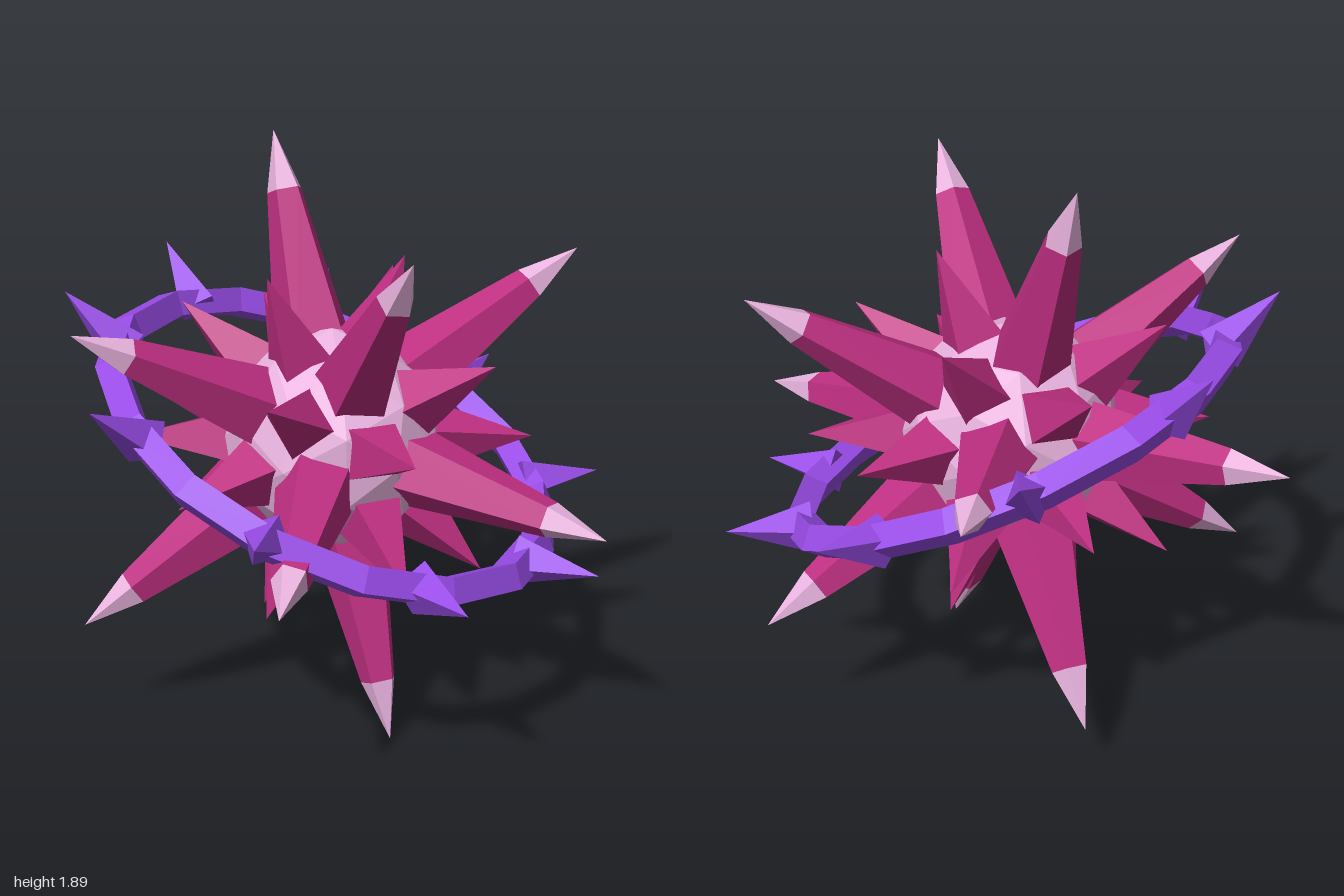
import * as THREE from 'three';

const flat = (color) => new THREE.MeshStandardMaterial({ color, flatShading: true });
const UP = new THREE.Vector3(0, 1, 0);

// Tapered, open-ended segment along +y from distance a to distance b
function taper(name, r0, r1, a, b, sides, material) {
  const geometry = r1 > 0
    ? new THREE.CylinderGeometry(r1, r0, b - a, sides, 1, true)
    : new THREE.ConeGeometry(r0, b - a, sides, 1, true);
  geometry.translate(0, (a + b) / 2, 0);
  const mesh = new THREE.Mesh(geometry, material);
  mesh.name = name;
  return mesh;
}

export function createModel() {
  const model = new THREE.Group();
  model.name = 'spikedStar';
  const magenta = flat(0xbe2f81);
  const pink = flat(0xe9b3df);
  const purple = flat(0x984be6);

  const body = new THREE.Group();
  body.name = 'body';
  body.position.y = 0.947;
  model.add(body);

  // Faceted core
  const core = new THREE.Mesh(new THREE.IcosahedronGeometry(0.37, 1), pink);
  core.name = 'core';
  body.add(core);

  // Twelve long spikes on the corners of a turned icosahedron
  const half = [
    [-0.31, 0.945, -0.22], [0.47, 0.755, 0.48], [0.63, 0.565, -0.55],
    [-0.53, 0.485, 0.72], [-1.0, 0.125, -0.18], [-0.27, 0.185, -0.96],
  ].map((p) => new THREE.Vector3(...p).normalize());
  const corners = [...half, ...half.map((v) => v.clone().negate())];
  for (const dir of corners) {
    const spike = new THREE.Group();
    spike.name = 'longSpike';
    spike.add(
      taper('spikeShaft', 0.145, 0.06, 0.25, 0.82, 5, magenta),
      taper('spikeTip', 0.06, 0, 0.82, 1.02, 5, pink),
    );
    spike.quaternion.setFromUnitVectors(UP, dir);
    body.add(spike);
  }

  // Twenty short spikes, one between each three neighbouring long ones
  const near = (a, b) => a.dot(b) > 0.3;
  for (let i = 0; i < 12; i++) for (let j = i + 1; j < 12; j++) for (let k = j + 1; k < 12; k++) {
    const [a, b, c] = [corners[i], corners[j], corners[k]];
    if (!near(a, b) || !near(b, c) || !near(a, c)) continue;
    const dir = a.clone().add(b).add(c).normalize();
    const spike = taper('shortSpike', 0.13, 0, 0.29, 0.66, 4, magenta);
    spike.quaternion.setFromUnitVectors(UP, dir);
    body.add(spike);
  }

  // Tilted ring with a diamond-shaped section
  const ring = new THREE.Group();
  ring.name = 'ring';
  ring.rotation.z = THREE.MathUtils.degToRad(-25.5);
  body.add(ring);
  const band = new THREE.Mesh(
    new THREE.TorusGeometry(0.76, 0.06, 4, 16).rotateZ(Math.PI / 16).rotateX(-Math.PI / 2), purple);
  band.name = 'ringBand';
  ring.add(band);

  // Nine thorns around the ring, leaning upward
  for (let i = 0; i < 9; i++) {
    const t = (i / 9) * Math.PI * 2;
    const base = new THREE.Vector3(0.73 * Math.cos(t), -0.01, 0.73 * Math.sin(t));
    const tip = new THREE.Vector3(0.98 * Math.cos(t), 0.1, 0.98 * Math.sin(t));
    const dir = tip.clone().sub(base);
    const thorn = new THREE.Mesh(
      new THREE.ConeGeometry(0.085, dir.length(), 4).translate(0, dir.length() / 2, 0), purple);
    thorn.name = 'ringThorn';
    thorn.rotation.order = 'YZX';
    thorn.rotation.set(0, -t, Math.atan2(0.11, 0.25) - Math.PI / 2);
    thorn.position.copy(base);
    ring.add(thorn);
  }

  return model;
}
